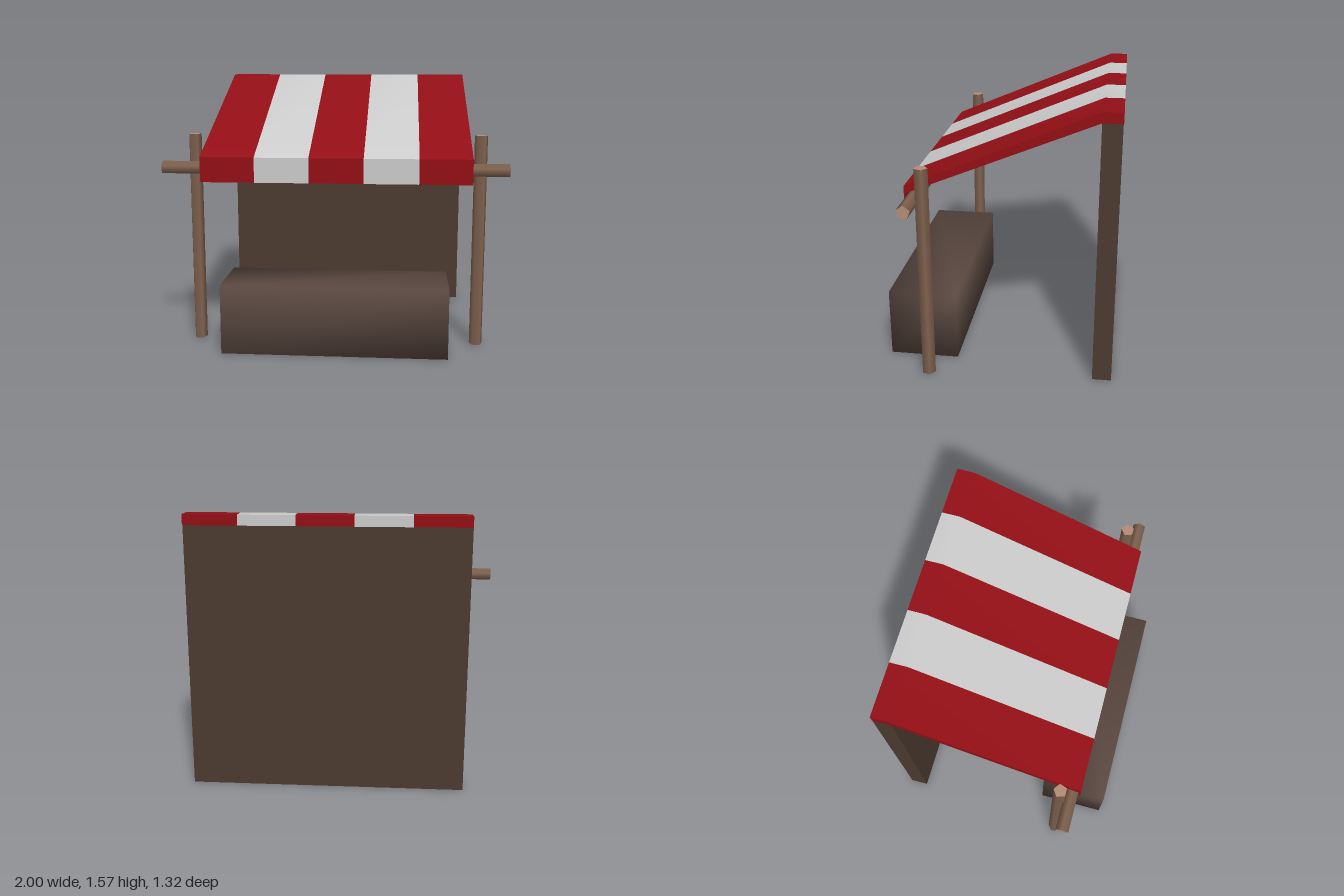
import * as THREE from 'three';
import { mergeVertices, toCreasedNormals } from 'three/addons/utils/BufferGeometryUtils.js';

const paint = (color) => new THREE.MeshStandardMaterial({ color });

export function createModel() {
  const group = new THREE.Group();
  const red = paint(0x930f16), white = paint(0xdedede);
  const wallWood = paint(0x4c3a30), counterWood = paint(0x5a4840);
  const bark = paint(0x80624f), cutWood = paint(0xb48c76);

  const add = (name, geometry, material) => {
    const mesh = new THREE.Mesh(geometry, material);
    mesh.name = name;
    group.add(mesh);
    return mesh;
  };

  // Box given by its extents
  const box = (x0, x1, y0, y1, z0, z1) =>
    new THREE.BoxGeometry(x1 - x0, y1 - y0, z1 - z0)
      .translate((x0 + x1) / 2, (y0 + y1) / 2, (z0 + z1) / 2);

  // Back wall
  add('backWall', box(-0.77, 0.79, 0, 1.51, -0.655, -0.547), wallWood);

  // Counter, shaded softly across its edges
  let counter = box(-0.635, 0.665, 0, 0.405, 0.257, 0.66);
  counter.deleteAttribute('uv');
  counter.deleteAttribute('normal');
  counter = mergeVertices(counter);
  counter.computeVertexNormals();
  add('counter', counter, counterWood);

  // Five-sided poles with pale cut ends
  const pole = (length) => new THREE.CylinderGeometry(0.039, 0.039, length, 5);
  const poleMaterials = [bark, cutWood, cutWood];
  for (const [name, x] of [['rightPost', -0.82], ['leftPost', 0.842]]) {
    add(name, pole(1.24).rotateY(Math.PI).translate(x, 0.625, 0.389), poleMaterials);
  }
  add('crossbar',
    pole(2).rotateZ(Math.PI / 2).rotateX(-0.35).translate(0, 1.052, 0.45), poleMaterials);

  // Awning side profile as (z, y): front flap, slope, flat cap on the wall
  const profile = new THREE.Shape([
    [0.5, 0.975], [0.5, 1.12], [-0.55, 1.567], [-0.657, 1.567],
    [-0.657, 1.508], [-0.547, 1.508], [0.49, 1.08], [0.49, 1.03],
  ].map(([z, y]) => new THREE.Vector2(z, y)));

  // Striped cloth, one strip per colour
  const edges = [-0.77, -0.455, -0.14, 0.175, 0.49, 0.792];
  for (let i = 0; i < edges.length - 1; i++) {
    const strip = new THREE.ExtrudeGeometry(profile, {
      depth: edges[i + 1] - edges[i], bevelEnabled: false,
    });
    strip.rotateY(-Math.PI / 2).translate(edges[i + 1], 0, 0);
    add(`awningStripe${i + 1}`, toCreasedNormals(strip, 1.0), i % 2 ? white : red);
  }

  return group;
}
